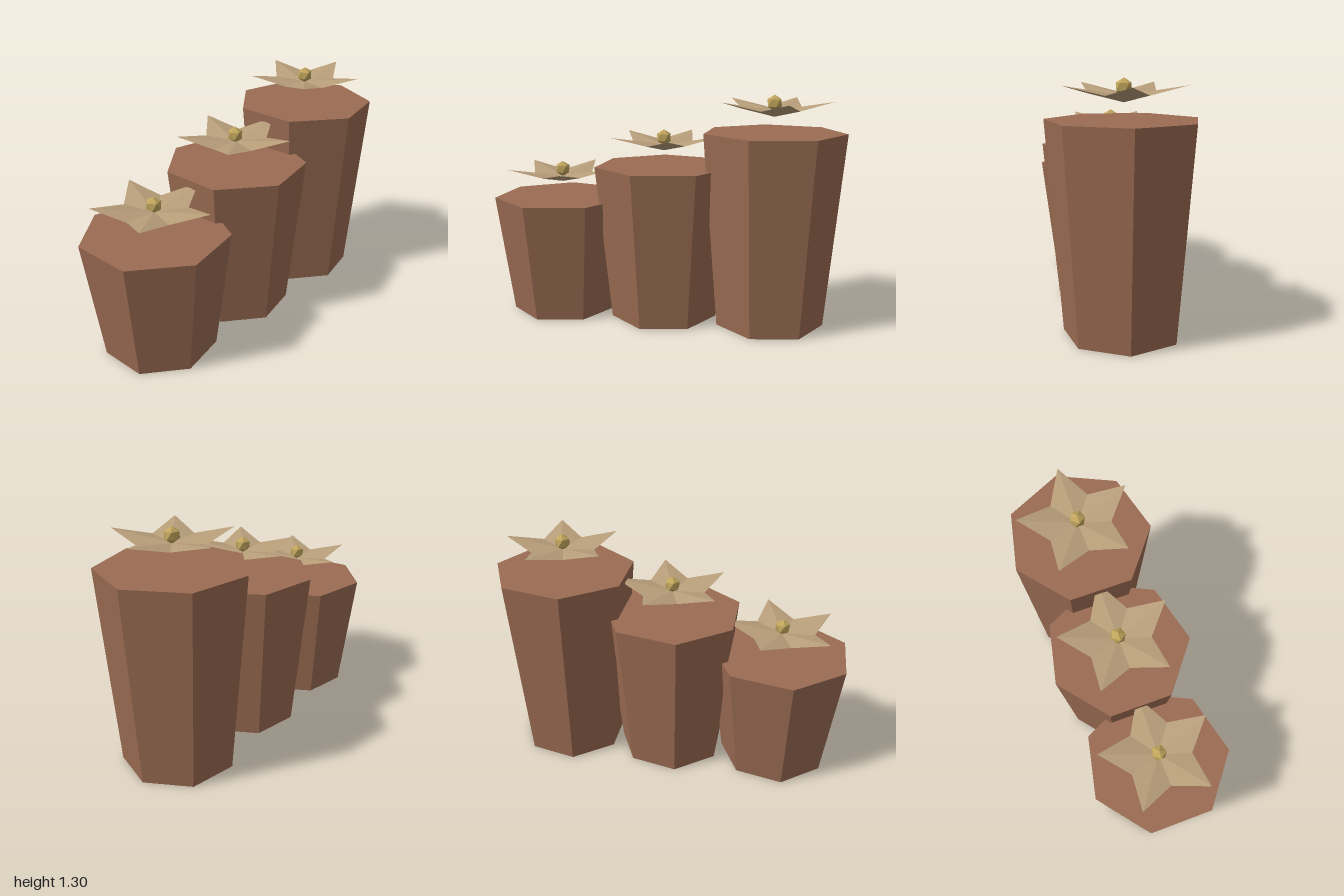
import * as THREE from 'three';

const brown = new THREE.MeshStandardMaterial({ color: 0x9a6b52, flatShading: true });
brown.name = 'columnBrown';
const tan = new THREE.MeshStandardMaterial({ color: 0xb89e7a, flatShading: true });
tan.name = 'petalTan';
const gold = new THREE.MeshStandardMaterial({ color: 0xc0a55c, flatShading: true });
gold.name = 'budGold';

// Five-pointed upturned star: an outline ring joined to an upper and a lower centre
function starGeometry() {
  const ring = [];
  for (let i = 0; i < 10; i++) {
    const a = (i * Math.PI) / 5;
    const tip = i % 2 === 0;
    const r = tip ? 0.325 : 0.18;
    ring.push([r * Math.cos(a), tip ? 0.087 : 0.041, r * Math.sin(a)]);
  }
  const upper = [0, 0.034, 0];
  const lower = [0, 0, 0];
  const pos = [];
  for (let i = 0; i < 10; i++) {
    const a = ring[i];
    const b = ring[(i + 1) % 10];
    pos.push(...upper, ...b, ...a, ...lower, ...a, ...b);
  }
  const geo = new THREE.BufferGeometry();
  geo.setAttribute('position', new THREE.Float32BufferAttribute(pos, 3));
  geo.computeVertexNormals();
  return geo;
}

export function createModel() {
  const group = new THREE.Group();
  const star = starGeometry();
  // Icosahedron turned so that one corner points straight up
  const bud = new THREE.IcosahedronGeometry(0.045, 0);
  bud.rotateZ(Math.atan2(1, (1 + Math.sqrt(5)) / 2));

  const add = (parent, name, geo, mat, y) => {
    const mesh = new THREE.Mesh(geo, mat);
    mesh.name = name;
    mesh.position.y = y;
    parent.add(mesh);
  };

  // Three seven-sided columns rising in steps, each with a flower above it
  [0.685, 0.89, 1.095].forEach((h, i) => {
    const plant = new THREE.Group();
    plant.name = 'plant' + (i + 1);
    plant.position.x = -0.64 + 0.62 * i;
    add(plant, 'column', new THREE.CylinderGeometry(0.4, 0.31, h, 7, 1, false, Math.PI / 2), brown, h / 2);
    add(plant, 'petals', star, tan, h + 0.085);
    add(plant, 'flowerBud', bud, gold, h + 0.16);
    group.add(plant);
  });
  return group;
}
